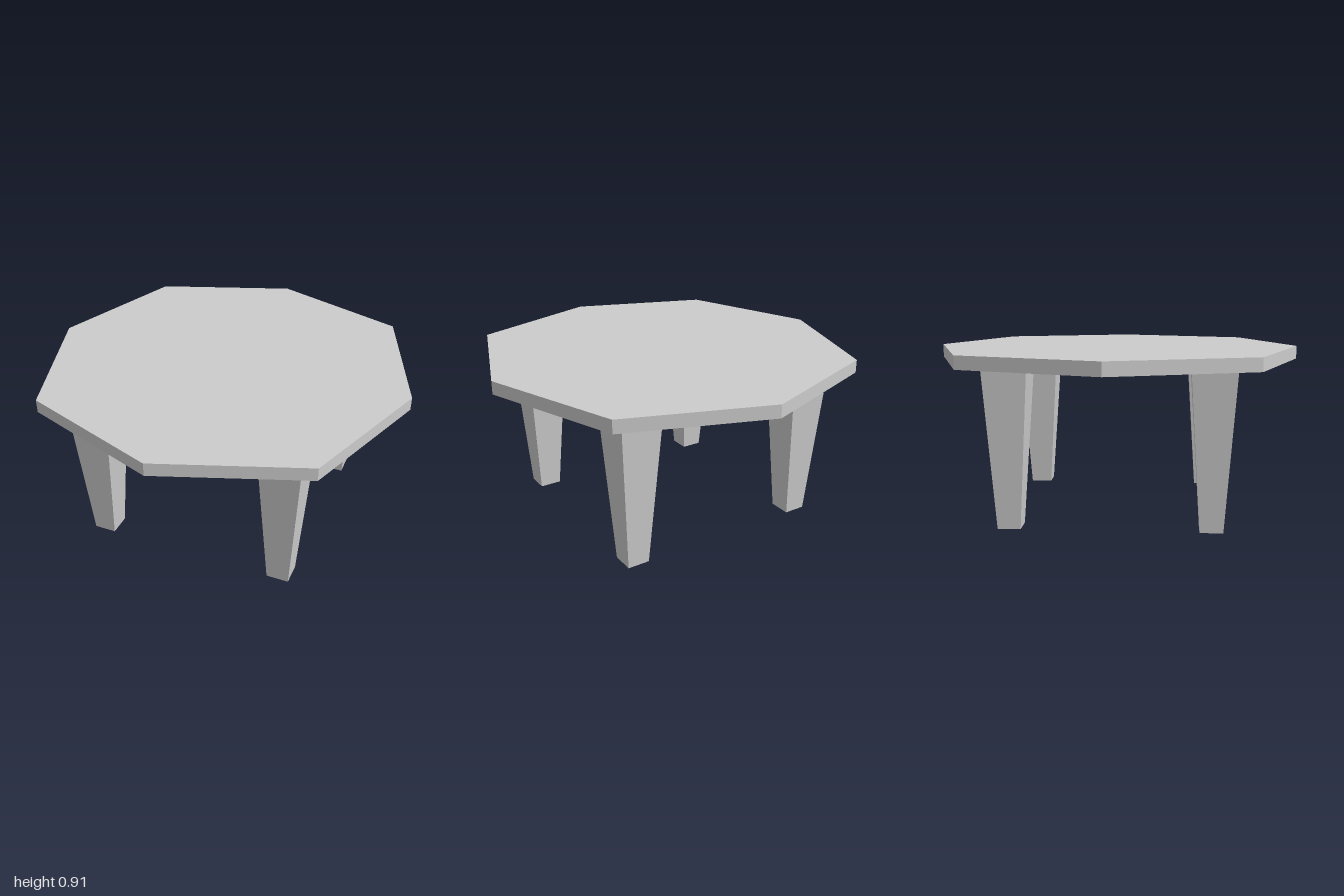
import * as THREE from 'three';

export function createModel() {
  const group = new THREE.Group();
  const material = new THREE.MeshStandardMaterial({ color: 0xcccccc, flatShading: true });

  const legHeight = 0.84, topThickness = 0.07;

  // Eight-sided tabletop, its diagonal corners slightly further out than the axis ones
  const corners = [];
  for (let i = 0; i < 8; i++) {
    const angle = (i * Math.PI) / 4;
    const radius = i % 2 ? 0.737 * Math.SQRT2 : 1;
    corners.push(new THREE.Vector2(radius * Math.cos(angle), radius * Math.sin(angle)));
  }
  const topGeometry = new THREE.ExtrudeGeometry(new THREE.Shape(corners), {
    depth: topThickness, bevelEnabled: false,
  });
  topGeometry.rotateX(-Math.PI / 2);
  const top = new THREE.Mesh(topGeometry, material);
  top.name = 'tabletop';
  top.position.y = legHeight;
  group.add(top);

  // Square legs tapering towards the floor
  const legGeometry = new THREE.CylinderGeometry(0.115 * Math.SQRT2, 0.06 * Math.SQRT2, legHeight, 4);
  legGeometry.rotateY(Math.PI / 4);
  for (const [z, end] of [[0.52, 'front'], [-0.52, 'back']]) {
    for (const [x, side] of [[0.52, 'Left'], [-0.52, 'Right']]) {
      const leg = new THREE.Mesh(legGeometry, material);
      leg.name = `${end}${side}Leg`;
      leg.position.set(x, legHeight / 2, z);
      group.add(leg);
    }
  }
  return group;
}
